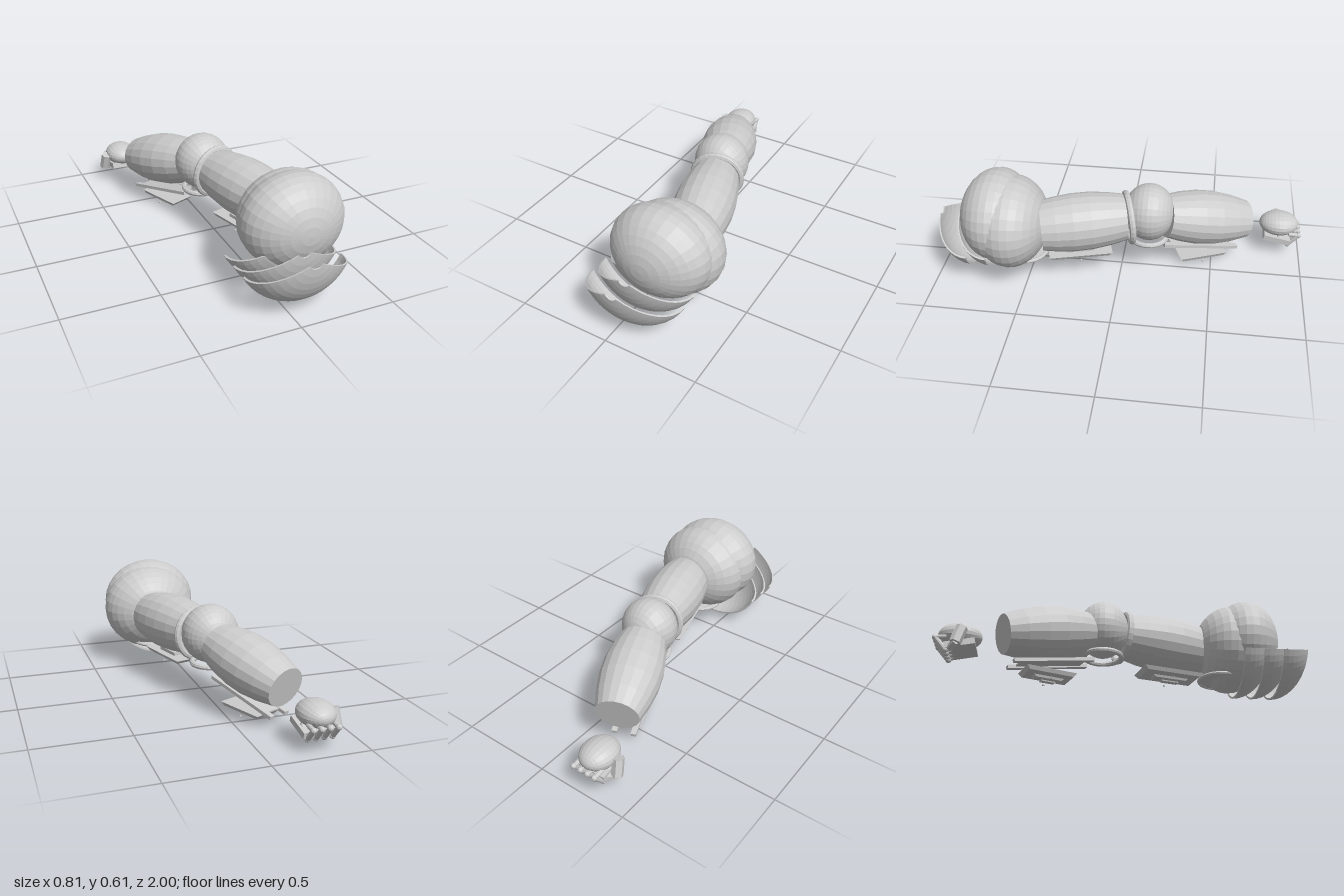
import * as THREE from 'three';
import { mergeGeometries } from 'three/addons/utils/BufferGeometryUtils.js';

const V = (x, y, z) => new THREE.Vector3(x, y, z);

export function createModel() {
  const model = new THREE.Group();
  model.name = 'armouredArm';
  const grey = new THREE.MeshStandardMaterial({ color: 0xcccccc, flatShading: true, side: THREE.DoubleSide });
  grey.name = 'lightGrey';

  function add(name, geometry, pos, parent = model) {
    const mesh = new THREE.Mesh(geometry, grey);
    mesh.name = name;
    mesh.position.copy(pos);
    parent.add(mesh);
    return mesh;
  }

  // Ellipsoid with its poles along z
  function ball(name, pos, rx, ry, rz, segs = 28) {
    const g = new THREE.SphereGeometry(1, segs, 16).rotateX(Math.PI / 2).scale(rx, ry, rz);
    return add(name, g, pos);
  }

  // Bulging limb between two points, flat at both ends
  function barrel(name, a, b, rStart, rMid, rEnd, flatten) {
    const len = a.distanceTo(b);
    const curve = new THREE.SplineCurve([
      new THREE.Vector2(rStart, 0), new THREE.Vector2((rStart + 2.4 * rMid) / 3.4, len * 0.22),
      new THREE.Vector2(rMid, len * 0.48), new THREE.Vector2((rEnd + 2.2 * rMid) / 3.2, len * 0.75),
      new THREE.Vector2(rEnd, len)]);
    const pts = [new THREE.Vector2(0, 0), ...curve.getPoints(5), new THREE.Vector2(0, len)];
    const g = new THREE.LatheGeometry(pts, 20).rotateX(Math.PI / 2).scale(1, flatten, 1);
    add(name, g, a).lookAt(b);
  }

  // Round rod between two points
  function rod(name, a, b, r, sides) {
    const len = a.distanceTo(b);
    const g = new THREE.CylinderGeometry(r, r, len, sides).rotateX(Math.PI / 2);
    add(name, g, a.clone().lerp(b, 0.5)).lookAt(b);
  }

  // Flat plate with sloping sides, narrower underneath
  function bevelPlate(name, w, h, l, bevel, pos, parent) {
    const g = new THREE.CylinderGeometry(Math.SQRT1_2, Math.SQRT1_2 * bevel, h, 4).rotateY(Math.PI / 4).scale(w, 1, l);
    return add(name, g, pos, parent);
  }

  // Shoulder
  ball('shoulderFront', V(0.118, 0.37, 0.66), 0.269, 0.242, 0.193);
  ball('shoulderRear', V(0.14, 0.343, 0.58), 0.265, 0.245, 0.2);

  // Upper arm, elbow and forearm
  barrel('upperArm', V(0.152, 0.332, 0.42), V(0.03, 0.345, -0.02), 0.136, 0.16, 0.128, 0.98);
  const ring = add('elbowRing', new THREE.TorusGeometry(0.132, 0.018, 8, 28), V(0.026, 0.34, -0.04));
  ring.rotation.set(0.06, 0.29, 0);
  ball('elbow', V(-0.006, 0.366, -0.148), 0.153, 0.157, 0.139);
  barrel('forearm', V(-0.03, 0.33, -0.235), V(-0.208, 0.224, -0.67), 0.125, 0.16, 0.113, 0.92);

  // Layered shoulder guard: three capped dome sectors, one behind another
  const half = 1.12, R = 0.295, D = 0.202, profile = [];
  for (let i = 0; i <= 10; i++) {
    const t = Math.PI / 2 - (i / 10) * (Math.PI / 2 - 0.12);
    profile.push(new THREE.Vector2(R * Math.sin(t), D * Math.cos(t)));
  }
  const inner = profile.map(p => new THREE.Vector2(p.x * 0.965, p.y * 0.965)).reverse();
  const closed = [...profile, ...inner, profile[0].clone()];
  const guardGeo = mergeGeometries([
    new THREE.LatheGeometry(closed, 18, -half, 2 * half).toNonIndexed(),
    ...[-half, half].map(p =>
      new THREE.ShapeGeometry(new THREE.Shape([...profile, ...inner])).rotateY(p - Math.PI / 2).toNonIndexed()),
  ]).rotateX(Math.PI / 2);
  for (let i = 0; i < 3; i++) add('shoulderGuard' + (i + 1), guardGeo, V(0.06, 0.333, 0.8 - i * 0.104));

  // Rings under the shoulder and elbow
  const flatRing = (r, tube) => new THREE.TorusGeometry(r, tube, 8, 28).rotateX(Math.PI / 2);
  add('shoulderDisc', new THREE.CylinderGeometry(0.12, 0.12, 0.012, 28), V(0.12, 0.145, 0.52));
  add('shoulderRing', flatRing(0.12, 0.01), V(0.12, 0.145, 0.52));
  add('elbowUnderRing', flatRing(0.1, 0.014), V(-0.01, 0.205, -0.147));

  // Stacked plates under each half of the arm
  function plateStack(name, pos, yaw, w, l) {
    const g = new THREE.Group();
    g.name = name;
    g.position.copy(pos);
    g.rotation.y = yaw;
    model.add(g);
    bevelPlate('basePlate', w, 0.02, l, 0.88, V(0, 0, 0), g);
    bevelPlate('middlePlate', w * 0.36, 0.012, l * 0.6, 0.85, V(0, -0.02, 0), g);
    bevelPlate('smallPlate', w * 0.2, 0.006, l * 0.3, 0.9, V(0, -0.037, 0), g);
    for (const s of [-1, 1]) {
      add('sideStud', new THREE.CylinderGeometry(0.006, 0.006, 0.006, 8), V(s * w * 0.4, -0.033, 0), g);
    }
    return g;
  }
  const upper = plateStack('upperArmPlates', V(0.085, 0.148, 0.225), 0.27, 0.17, 0.345);
  bevelPlate('plateMount', 0.09, 0.02, 0.15, 1, V(0, 0.018, 0), upper);
  plateStack('forearmPlates', V(-0.118, 0.042, -0.435), 0.38, 0.145, 0.27);

  // Sloping twin rails carrying the forearm plates
  const rails = new THREE.Group();
  rails.name = 'forearmRails';
  rails.position.set(-0.122, 0.108, -0.42);
  rails.lookAt(-0.202, 0.063, -0.62);
  model.add(rails);
  for (const s of [-1, 1]) add('rail', new THREE.BoxGeometry(0.028, 0.018, 0.445), V(s * 0.05, 0, 0), rails);
  add('railBridge', new THREE.BoxGeometry(0.1, 0.008, 0.36), V(0, 0.002, 0), rails);

  // Hand: rounded back, palm plate, curled fingers and thumb
  ball('hand', V(-0.268, 0.17, -0.873), 0.092, 0.064, 0.109, 20);
  const palm = add('palm', new THREE.BoxGeometry(0.165, 0.032, 0.15), V(-0.262, 0.106, -0.865));
  palm.rotation.x = -0.2;
  for (let i = 0; i < 4; i++) {
    const x = -0.33 + i * 0.042;
    const knuckle = V(x, 0.135, -0.985), bend = V(x, 0.07, -0.93), tip = V(x, 0.125, -0.87);
    rod('fingerUpper', V(x, 0.14, -0.93), knuckle, 0.012, 10);
    rod('fingerMiddle', knuckle, bend, 0.013, 10);
    rod('fingerLower', bend, tip, 0.012, 10);
    for (const p of [knuckle, bend]) add('fingerJoint', new THREE.SphereGeometry(0.015, 10, 8), p);
  }
  rod('thumbBase', V(-0.366, 0.178, -0.855), V(-0.375, 0.09, -0.88), 0.03, 6);
  rod('thumbTip', V(-0.382, 0.095, -0.875), V(-0.33, 0.08, -0.91), 0.018, 6);

  return model;
}
